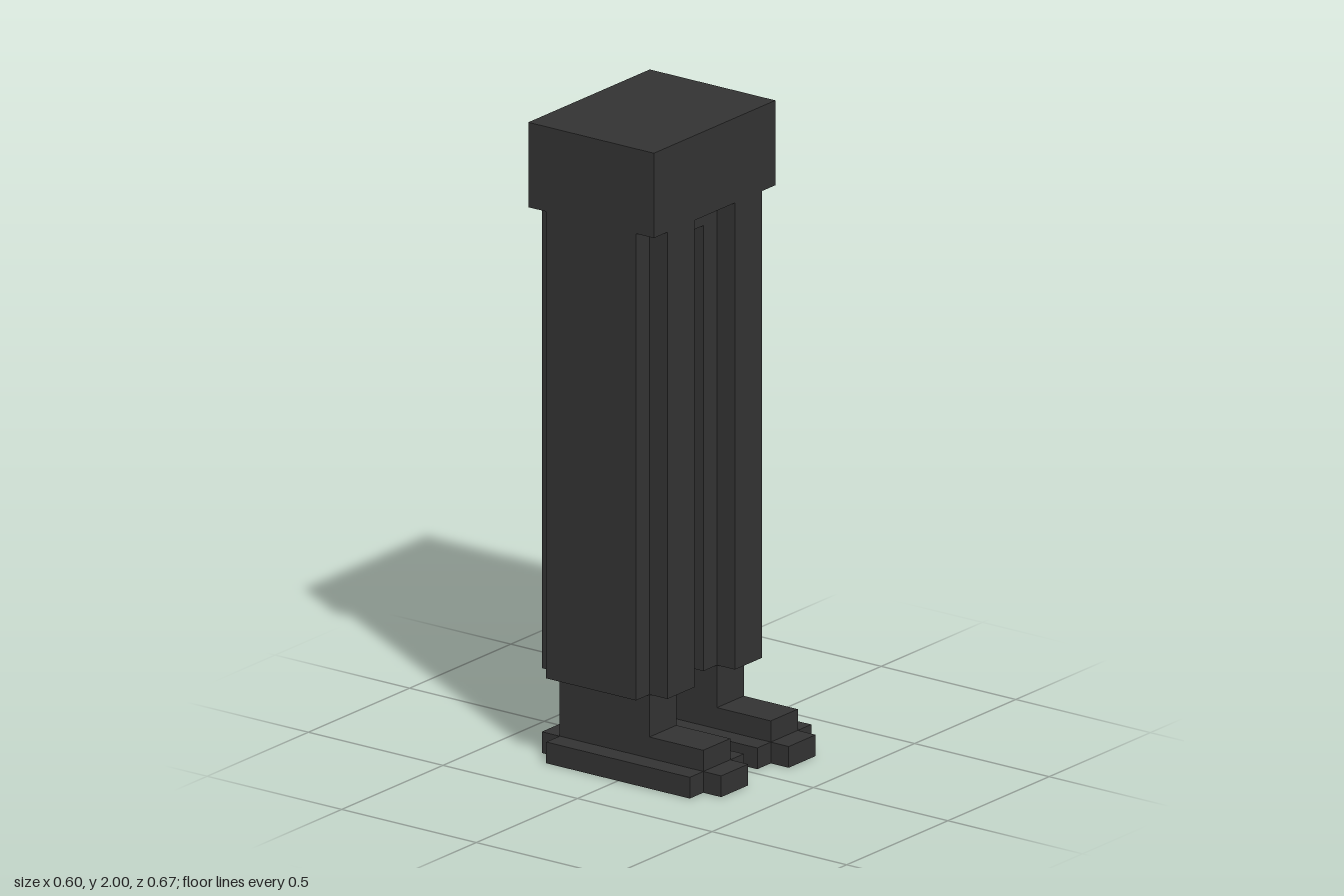
import * as THREE from 'three';

const U = 1 / 15; // one block unit

// Plus-shaped column: a rectangle w by d (in blocks) with a one-block notch at each corner
function notchedColumn(w, d, h) {
  const a = w / 2, b = d / 2;
  const corners = [
    [a, -b + 1], [a, b - 1], [a - 1, b - 1], [a - 1, b], [-a + 1, b], [-a + 1, b - 1],
    [-a, b - 1], [-a, -b + 1], [-a + 1, -b + 1], [-a + 1, -b], [a - 1, -b], [a - 1, -b + 1],
  ];
  const shape = new THREE.Shape(corners.map(([x, y]) => new THREE.Vector2(x * U, y * U)));
  const geometry = new THREE.ExtrudeGeometry(shape, { depth: h * U, bevelEnabled: false });
  return geometry.rotateX(-Math.PI / 2);
}

// Box spanning two opposite corners, in blocks
function block(x0, x1, y0, y1, z0, z1) {
  const geometry = new THREE.BoxGeometry((x1 - x0) * U, (y1 - y0) * U, (z1 - z0) * U);
  return geometry.translate((x0 + x1) / 2 * U, (y0 + y1) / 2 * U, (z0 + z1) / 2 * U);
}

export function createModel() {
  const model = new THREE.Group();
  model.name = 'trousersAndShoes';
  const charcoal = new THREE.MeshStandardMaterial({ color: 0x333333 });
  charcoal.name = 'charcoal';

  const add = (parent, name, geometry) => {
    const mesh = new THREE.Mesh(geometry, charcoal);
    mesh.name = name;
    parent.add(mesh);
  };

  // Hips and the recessed crotch strip joining the legs
  add(model, 'hips', block(-4.5, 4.5, 26, 30, -5, 2));
  add(model, 'crotch', block(-0.5, 0.5, 25, 26, -4, 1));

  // Legs, each centred on its own axis
  for (const side of [1, -1]) {
    const leg = new THREE.Group();
    leg.name = side > 0 ? 'leftLeg' : 'rightLeg';
    leg.position.x = side * 2.5 * U;
    add(leg, 'trouserLeg', notchedColumn(4, 7, 22).translate(0, 4 * U, -1.5 * U));
    add(leg, 'ankle', block(-1, 1, 1, 4, -4, 1));
    add(leg, 'shoeUpper', block(-1, 1, 1, 2, 1, 4));
    add(leg, 'sole', notchedColumn(4, 10, 1));
    model.add(leg);
  }
  return model;
}
